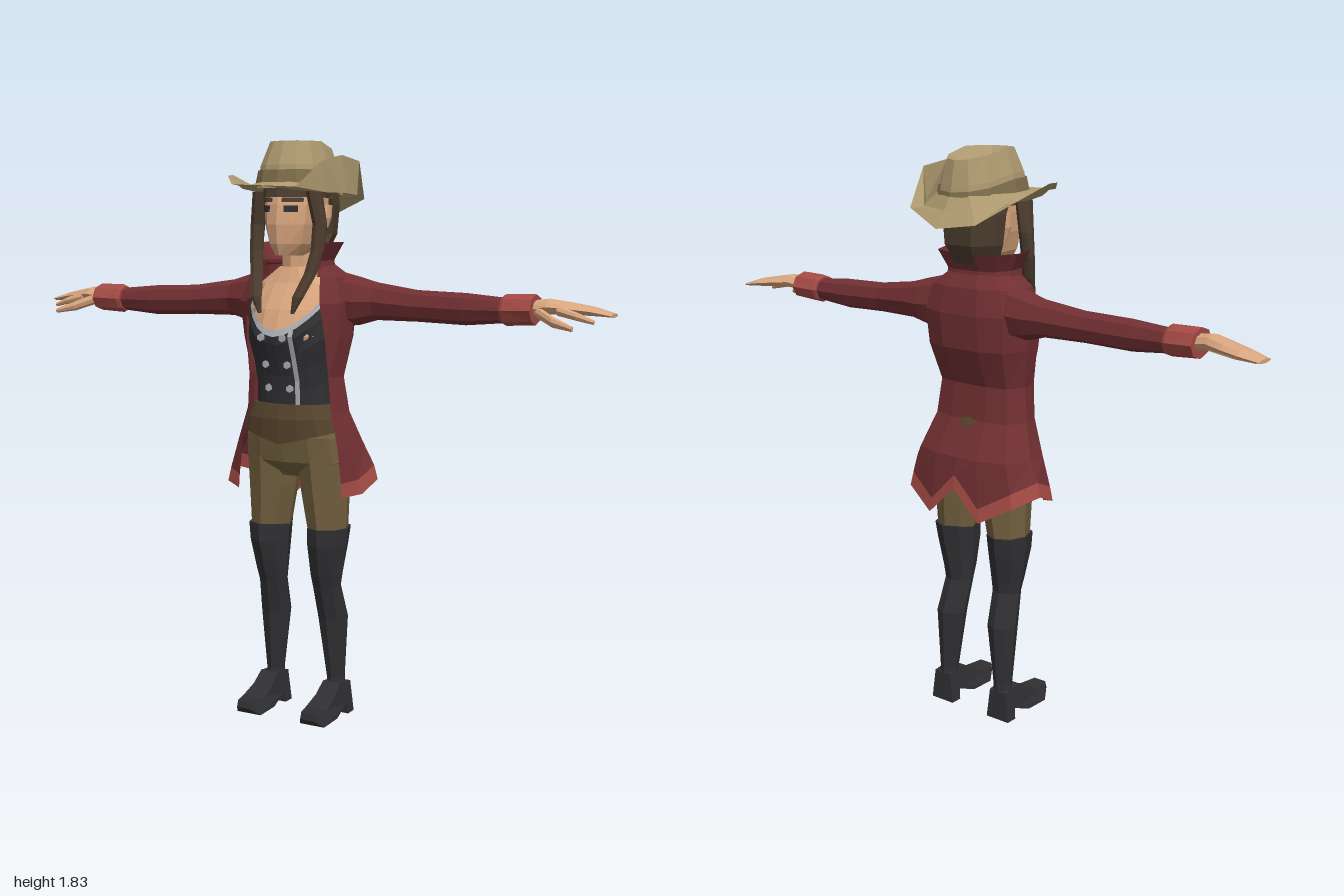
import * as THREE from 'three';

const mat = (name, color, open) => {
  const m = new THREE.MeshStandardMaterial({ color, flatShading: true });
  if (open) m.side = THREE.DoubleSide;
  m.name = name;
  return m;
};
const M = {
  hat: mat('tan felt', 0xac986e, true), band: mat('hat band', 0x7f6e4c, true),
  hair: mat('brown hair', 0x4c3c2e, true), skin: mat('skin', 0xd9a67e),
  coat: mat('red coat', 0x702f32, true), trim: mat('coat trim', 0xa34a44, true),
  pants: mat('brown cloth', 0x72603f), belt: mat('dark brown belt', 0x55432c),
  black: mat('black leather', 0x303033, true), silver: mat('silver', 0xa9abb0, true),
};

// Skin over a list of rings; side -1 mirrors it across x
function loft(rings, { closed = true, cap = true, side = 1 } = {}) {
  const out = [];
  const tri = (a, b, c) => (side > 0 ? [a, b, c] : [a, c, b]).forEach(p => out.push(p[0] * side, p[1], p[2]));
  const n = rings[0].length, m = closed ? n : n - 1;
  for (let i = 0; i < rings.length - 1; i++) for (let j = 0; j < m; j++) {
    const k = (j + 1) % n, [r, s] = [rings[i], rings[i + 1]];
    tri(r[j], r[k], s[k]);
    tri(r[j], s[k], s[j]);
  }
  if (closed && cap) [rings[0], rings[rings.length - 1]].forEach((r, e) => {
    const c = [0, 1, 2].map(a => r.reduce((t, p) => t + p[a], 0) / n);
    for (let j = 0; j < n; j++) e ? tri(c, r[j], r[(j + 1) % n]) : tri(c, r[(j + 1) % n], r[j]);
  });
  const g = new THREE.BufferGeometry();
  g.setAttribute('position', new THREE.Float32BufferAttribute(out, 3));
  g.computeVertexNormals();
  return g;
}

// Body section row: [y, half width, front z, back z]
const point = ([y, w, f, b], t, k = 1) => {
  const c = Math.cos(t);
  return [w * Math.sin(t) * k, y, (c > 0 ? f : b) * Math.abs(c) ** 0.7 * k];
};
const angles = n => Array.from({ length: n }, (_, i) => i / n * Math.PI * 2);
const section = (row, n = 12, k = 1) => angles(n).map(t => point(row, t, k));
const body = (rows, n, k) => loft(rows.map(r => section(r, n, k)));
const at = (rows, y) => {
  let i = 0;
  while (i < rows.length - 2 && y > rows[i + 1][0]) i++;
  const a = rows[i], b = rows[i + 1], t = THREE.MathUtils.clamp((y - a[0]) / (b[0] - a[0]), 0, 1);
  return [y, ...[1, 2, 3].map(j => a[j] + (b[j] - a[j]) * t)];
};
const frontZ = (rows, x, y) => {
  const [, w, f] = at(rows, y);
  return f * Math.max(0, 1 - (x / w) ** 2) ** 0.35;
};
// Thin painted patch lying on the front of a body
const patch = (rows, x0, x1, ys) => loft(ys.map(y => [x0, (x0 + x1) / 2, x1]
  .map(x => [x, y, frontZ(rows, x, y) + 0.006])), { closed: false });

// Limb rings: [height, centre x, centre z, rx, rz] upward, or [x, cy, cz, ry, rz] along x
const upRings = rows => rows.map(([y, cx, cz, rx, rz]) => angles(8).map(t => [cx + rx * Math.sin(t), y, cz + rz * Math.cos(t)]));
const sideRings = rows => rows.map(([x, cy, cz, ry, rz]) => angles(8).map(t => [x, cy + ry * Math.cos(t), cz + rz * Math.sin(t)]));

const TORSO = [[1.0, .13, .105, -.06], [1.1, .125, .112, -.06], [1.17, .132, .135, -.07],
  [1.24, .148, .16, -.09], [1.32, .15, .125, -.1], [1.4, .13, .07, -.09], [1.45, .06, .05, -.06]];
const HEAD = [[1.485, .04, .12, -.01], [1.52, .064, .134, -.06], [1.58, .08, .139, -.09],
  [1.64, .085, .132, -.1], [1.72, .08, .11, -.11]];

export function createModel() {
  const model = new THREE.Group();
  const add = (name, geo, material, parent = model) => {
    const m = new THREE.Mesh(geo, material);
    m.name = name;
    parent.add(m);
    return m;
  };

  // Torso, neck and head
  add('chest', body(TORSO, 16, 0.95), M.skin);
  add('neck', loft(upRings([[1.38, 0, -.01, .06, .055], [1.54, 0, 0, .048, .055]])), M.skin);
  add('head', body(HEAD), M.skin);
  for (const s of [-1, 1]) {
    const span = (a, b) => s > 0 ? [a, b] : [-b, -a];
    add('eye', patch(HEAD, ...span(.024, .06), [1.617, 1.637]), M.black);
    add('eyebrow', patch(HEAD, ...span(.016, .07), [1.647, 1.66]), M.hair);
    add('ear', loft(upRings([[1.57, s * .088, -.015, .008, .012], [1.6, s * .093, -.015, .012, .022], [1.64, s * .093, -.02, .012, .022]])), M.skin);
  }

  // Vest with a low neckline, edging, placket and buttons
  const neckline = t => Math.cos(t) > 0 ? 1.25 + .13 * Math.sin(t) ** 2 : 1.38;
  const vestRing = (f, k) => angles(24).map(t => point(at(TORSO, f(t)), t, k));
  add('vest', loft([0, .25, .45, .65, .85, 1].map(u =>
    vestRing(t => THREE.MathUtils.lerp(1.0, neckline(t), u), 1)), { cap: false }), M.black);
  const edge = d => Array.from({ length: 13 }, (_, i) => {
    const t = (i / 12 - .5) * 2.9;
    return point(at(TORSO, neckline(t) + d), t, 1.025);
  });
  add('necklineTrim', loft([edge(-.012), edge(.008)], { closed: false }), M.silver);
  add('placket', patch(TORSO, .05, .064, [1.02, 1.1, 1.17, 1.24, 1.26]), M.silver);
  for (const x of [-.045, .032]) for (const y of [1.075, 1.15, 1.235]) {
    const b = add('button', new THREE.CylinderGeometry(.012, .012, .008, 6).rotateX(Math.PI / 2), M.silver);
    b.position.set(x, y, frontZ(TORSO, x, y) + .004);
  }

  // Hips and broad belt
  add('hips', body([[.79, .06, .05, -.05], [.84, .178, .095, -.11], [.92, .17, .112, -.11], [1.02, .13, .105, -.07]]), M.pants);
  const beltRows = [[.925, .176, .126, -.116], [.98, .16, .132, -.1], [1.025, .136, .122, -.08]].map(r => section(r, 16));
  beltRows[0].forEach(p => { p[1] += .3 * Math.abs(p[0]) * .8 - .025; });
  add('belt', loft(beltRows), M.belt);

  // Hair: back shell, fringe and long front locks
  const shell = ([y, w, z0, b]) => [[w, z0], [w * .95, b * .6], [w * .5, b], [-w * .5, b], [-w * .95, b * .6], [-w, z0]].map(([x, z]) => [x, y, z]);
  add('backHair', loft([[1.49, .075, -.03, -.1], [1.55, .1, -.04, -.135], [1.64, .108, -.035, -.14], [1.74, .1, .02, -.12]].map(shell), { closed: false }), M.hair);
  add('fringe', body([[1.662, .092, .136, -.11], [1.73, .09, .12, -.11]]), M.hair);
  const lock = upRings([[1.31, .058, .142, .006, .006], [1.36, .074, .135, .02, .014], [1.43, .095, .095, .022, .018],
    [1.5, .108, .075, .022, .02], [1.58, .11, .062, .022, .026], [1.68, .094, .07, .022, .034]]);

  // Hat: curved brim pinned up on one side, pinched crown and band
  const outer = [[0, 1.695, .235], [.11, 1.69, .215], [.15, 1.77, .12], [.152, 1.79, 0], [.162, 1.775, -.1], [.13, 1.66, -.2],
    [0, 1.61, -.235], [-.12, 1.625, -.2], [-.195, 1.69, -.1], [-.22, 1.735, .03], [-.19, 1.73, .11], [-.12, 1.7, .2]];
  const middle = [[0, 1.695, .19], [.1, 1.68, .17], [.155, 1.675, .1], [.167, 1.675, 0], [.16, 1.67, -.09], [.1, 1.665, -.17],
    [0, 1.66, -.195], [-.09, 1.665, -.175], [-.15, 1.68, -.09], [-.165, 1.685, .01], [-.15, 1.69, .09], [-.1, 1.695, .17]];
  add('hatBrim', loft([outer, middle, section([1.71, .11, .125, -.165])], { cap: false }), M.hat);
  const tilt = row => section(row).map(([x, y, z]) => [x, y + Math.min(0, z) * .2, z]);
  add('hatCrown', loft([[1.69, .118, .132, -.172], [1.76, .106, .12, -.162], [1.833, .08, .088, -.148], [1.805, .028, .055, -.1]].map(tilt)), M.hat);
  add('hatBand', loft([[1.7, .122, .137, -.178], [1.745, .113, .129, -.17]].map(tilt), { cap: false }), M.band);

  // Open coat: [y, half width, front z, back z, half opening]
  const coatRow = ([y, w, f, b, o]) => {
    const half = [[o, f], [w * .95, f * .55], [w, (f + b) / 2], [w * .8, b * .8], [w * .38, b]];
    return [...half, [0, b], ...half.map(([x, z]) => [-x, z]).reverse()].map(([x, z]) => [x, y, z]);
  };
  // Hem drops at the front corners and tails, with a notch at the centre back
  const drop = [.735, .75, .785, .755, .695, .79];
  const hem = (row, up) => coatRow(row).map(([x, , z], i) => [x, drop[Math.min(i, 10 - i)] + up, z]);
  const hemTop = hem([0, .246, .058, -.158, .185], .045);
  add('coat', loft([hemTop, ...[[.89, .215, .058, -.147, .172], [1.0, .176, .06, -.088, .15], [1.11, .16, .065, -.075, .142],
    [1.23, .18, .085, -.125, .14], [1.34, .19, .1, -.135, .13], [1.42, .165, .065, -.12, .112],
    [1.46, .105, .05, -.095, .09]].map(coatRow)], { closed: false }), M.coat);
  add('coatHem', loft([hem([0, .258, .058, -.163, .188], 0), hemTop], { closed: false }), M.trim);
  add('collar', loft([[1.42, .12, .06, -.095, .1], [1.47, .112, .055, -.09, .1], [1.525, .142, .075, -.115, .122]].map(coatRow), { closed: false }), M.coat);

  // Foot outline in z and y, with a raised heel
  const footShape = new THREE.Shape([[-.085, 0], [-.045, 0], [-.04, .035], [.03, .006], [.12, .004], [.155, .032], [.15, .055],
    [.09, .052], [.03, .075], [-.01, .11], [-.083, .1]].map(p => new THREE.Vector2(...p)));

  for (const s of [-1, 1]) {
    const side = new THREE.Group();
    side.name = s > 0 ? 'leftSide' : 'rightSide';
    model.add(side);
    const limb = (name, rings, m) => add(name, loft(rings, { side: s }), m, side);
    limb('hairLock', lock, M.hair);

    // Arm and hand
    limb('sleeve', sideRings([[.14, 1.35, -.03, .085, .075], [.2, 1.345, -.035, .075, .068], [.26, 1.345, -.04, .058, .054],
      [.4, 1.335, -.03, .048, .042], [.56, 1.33, -.025, .048, .042], [.7, 1.33, -.022, .036, .038]]), M.coat);
    limb('cuff', sideRings([[.68, 1.332, -.02, .042, .046], [.69, 1.332, -.02, .047, .052], [.78, 1.335, -.018, .045, .058]]), M.trim);
    limb('hand', sideRings([[.76, 1.335, -.02, .026, .03], [.82, 1.345, -.025, .023, .042], [.88, 1.34, -.045, .018, .046],
      [.94, 1.333, -.06, .014, .043], [1, 1.322, -.06, .006, .034]]), M.skin);
    limb('indexFinger', sideRings([[.85, 1.335, -.006, .015, .016], [.91, 1.32, .004, .012, .013], [.96, 1.305, .004, .007, .008]]), M.skin);
    limb('thumb', sideRings([[.79, 1.33, 0, .018, .018], [.85, 1.305, .04, .016, .015], [.915, 1.288, .06, .008, .009]]), M.skin);

    // Leg, boot and foot
    limb('trouserLeg', upRings([[.58, .106, -.01, .06, .07], [.75, .094, -.01, .079, .088], [.85, .09, -.01, .086, .1]]), M.pants);
    limb('boot', upRings([[.07, .115, -.05, .033, .034], [.12, .113, -.05, .029, .033], [.32, .106, -.043, .05, .05],
      [.43, .099, -.012, .048, .045], [.47, .1, -.008, .053, .055], [.57, .105, -.006, .064, .078], [.625, .107, -.01, .068, .083]]), M.black);
    const foot = new THREE.ExtrudeGeometry(footShape, { depth: .088, bevelEnabled: false }).rotateY(-Math.PI / 2).translate(.044, 0, 0);
    const p = foot.attributes.position;
    for (let i = 0; i < p.count; i++) p.setX(i, p.getX(i) * (1 - 2.8 * p.getY(i)) * (p.getZ(i) > .13 ? .6 : 1) + s * .117);
    foot.computeVertexNormals();
    add('foot', foot, M.black, side);
  }
  return model;
}
